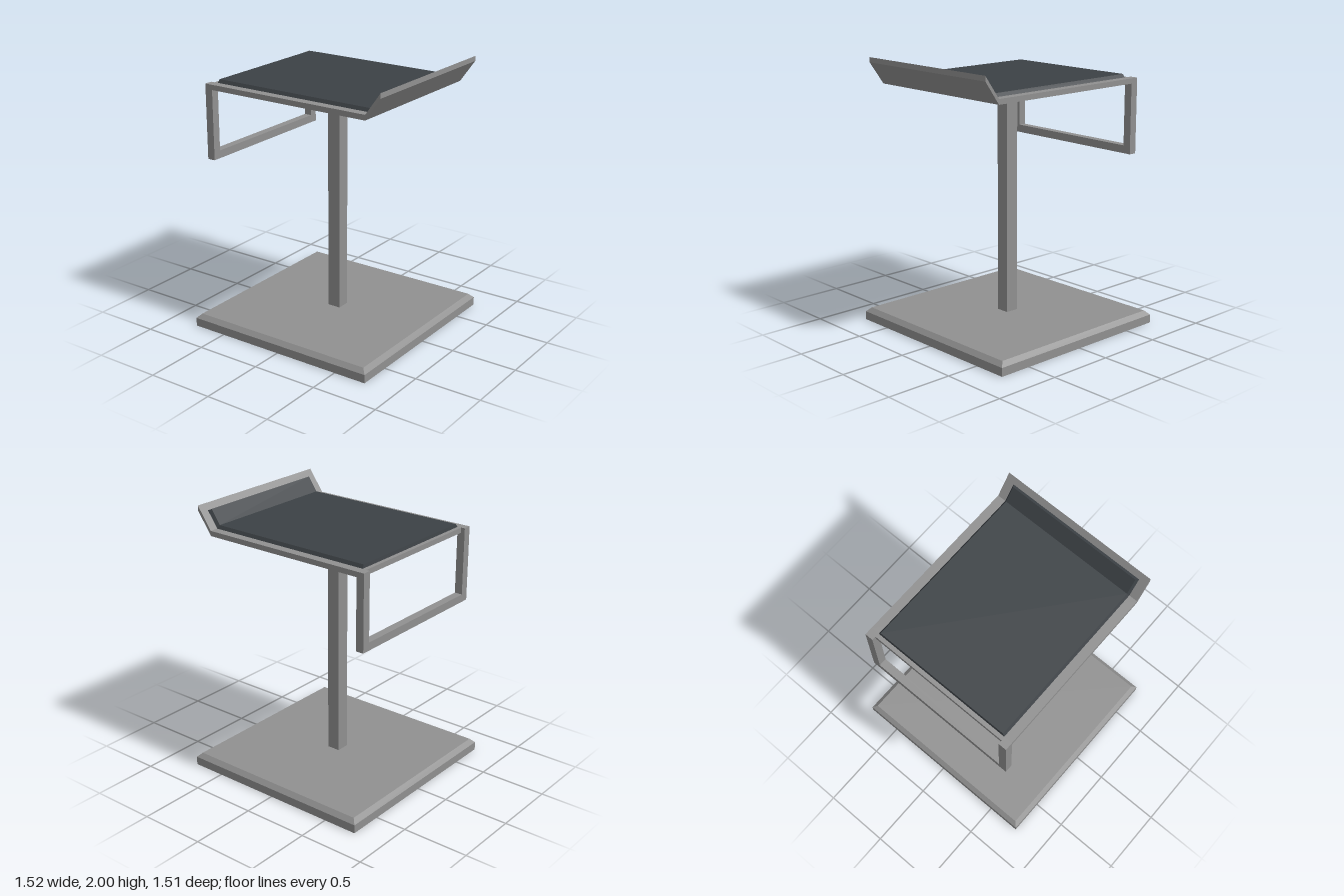
import * as THREE from 'three';

const grey = new THREE.MeshStandardMaterial({ color: 0x909090, flatShading: true });
const dark = new THREE.MeshStandardMaterial({ color: 0x3c4145, flatShading: true });

// Capped loft through four-cornered cross-sections, with sharp edges
function loft(rings) {
  const pos = [];
  const quad = (a, b, c, d) => pos.push(...a, ...b, ...c, ...a, ...c, ...d);
  for (let i = 0; i < rings.length - 1; i++) {
    for (let j = 0; j < 4; j++) {
      const k = (j + 1) % 4;
      quad(rings[i][j], rings[i][k], rings[i + 1][k], rings[i + 1][j]);
    }
  }
  quad(...[...rings[0]].reverse());
  quad(...rings[rings.length - 1]);
  const g = new THREE.BufferGeometry();
  g.setAttribute('position', new THREE.Float32BufferAttribute(pos, 3));
  g.computeVertexNormals();
  return g;
}

// Horizontal rectangle at height y
const level = (y, x0, x1, z) => [[x1, y, z], [x1, y, -z], [x0, y, -z], [x0, y, z]];

// Upright section across the seat: bottom edge and top edge with their half widths
const section = ([bx, by], [tx, ty], bz, tz) =>
  [[bx, by, -bz], [tx, ty, -tz], [tx, ty, tz], [bx, by, bz]];

function box(x0, x1, y0, y1, z0, z1) {
  return new THREE.BoxGeometry(x1 - x0, y1 - y0, z1 - z0)
    .translate((x0 + x1) / 2, (y0 + y1) / 2, (z0 + z1) / 2);
}

export function createModel() {
  const model = new THREE.Group();
  const add = (name, geometry, material = grey, parent = model) => {
    const mesh = new THREE.Mesh(geometry, material);
    mesh.name = name;
    parent.add(mesh);
  };

  // Square foot plate with a chamfered top edge
  add('base', loft([
    level(0, -0.76, 0.75, 0.755),
    level(0.063, -0.76, 0.75, 0.755),
    level(0.095, -0.728, 0.718, 0.723),
  ]));

  add('column', box(-0.055, 0.045, 0.095, 1.68, -0.05, 0.05));

  // Inverted pyramid carrying the seat
  add('seatSupport', loft([
    level(1.68, -0.055, 0.045, 0.05),
    level(1.8, -0.65, 0.64, 0.61),
  ]));

  // Seat tray with its upturned low back
  add('seatTray', loft([
    section([-0.65, 1.8], [-0.65, 1.838], 0.61, 0.61),
    section([0.64, 1.8], [0.64, 1.838], 0.61, 0.61),
    section([0.757, 1.963], [0.757, 2.0], 0.61, 0.61),
  ]));
  add('trayLip', box(-0.68, -0.65, 1.8, 1.838, -0.548, 0.548));

  // Thin bevelled pad following the tray
  add('cushion', loft([
    section([-0.65, 1.838], [-0.645, 1.862], 0.545, 0.53),
    section([0.64, 1.838], [0.63, 1.862], 0.545, 0.53),
    section([0.725, 1.956], [0.703, 1.966], 0.545, 0.53),
  ]), dark);

  // Hanging footrest loop
  const footrest = new THREE.Group();
  footrest.name = 'footrest';
  model.add(footrest);
  add('footrestLegFront', box(-0.71, -0.65, 1.282, 1.838, 0.548, 0.61), grey, footrest);
  add('footrestLegBack', box(-0.71, -0.65, 1.282, 1.838, -0.61, -0.548), grey, footrest);
  add('footrestBar', box(-0.71, -0.65, 1.282, 1.34, -0.548, 0.548), grey, footrest);

  return model;
}
